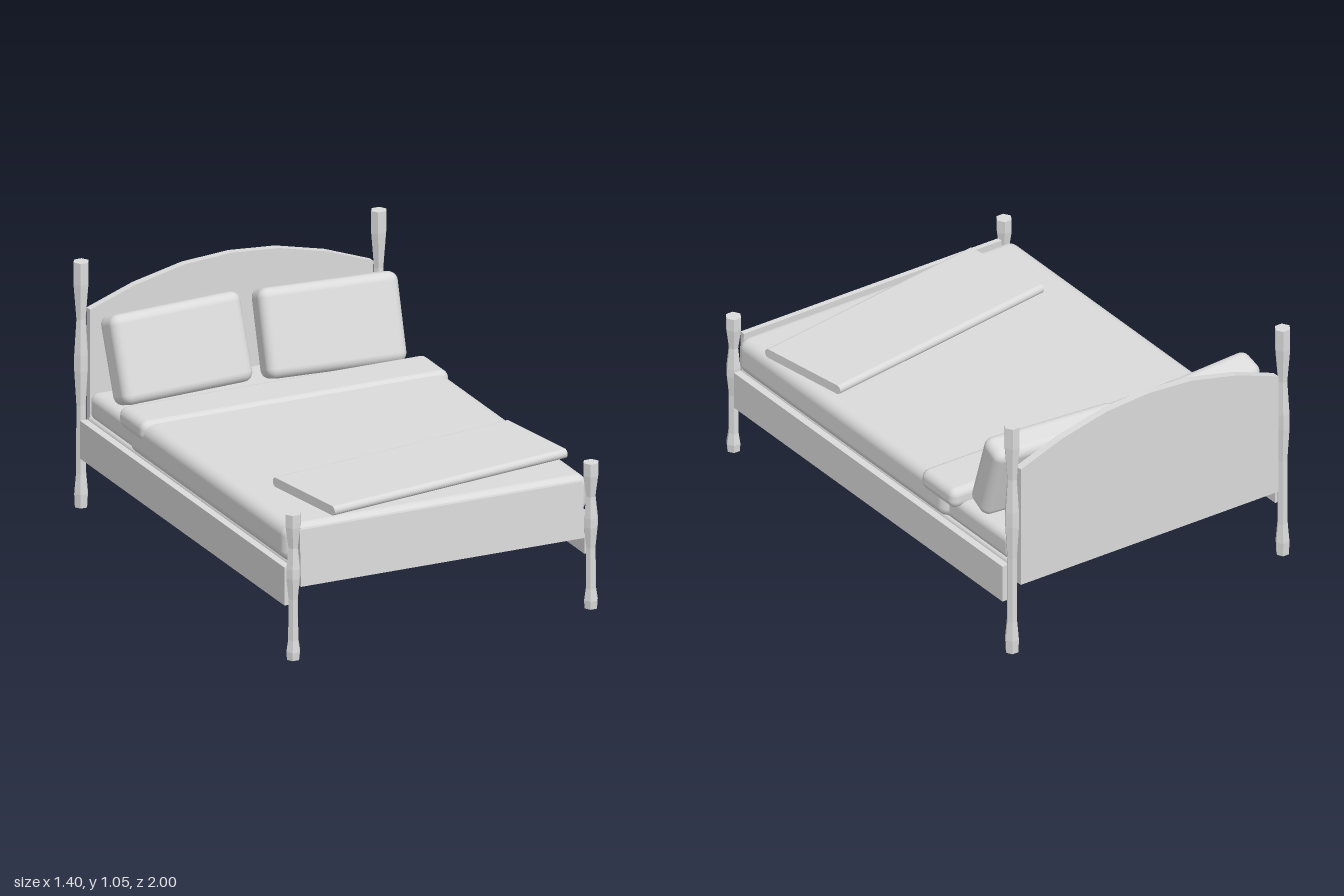
import * as THREE from 'three';
import { RoundedBoxGeometry } from 'three/addons/geometries/RoundedBoxGeometry.js';

export function createModel() {
  const bed = new THREE.Group();
  bed.name = 'bed';
  const grey = new THREE.MeshStandardMaterial({ color: 0xdadada });
  grey.name = 'light grey';

  const add = (name, geometry, x = 0, y = 0, z = 0) => {
    const mesh = new THREE.Mesh(geometry, grey);
    mesh.name = name;
    mesh.position.set(x, y, z);
    bed.add(mesh);
    return mesh;
  };
  // Rounded box given by its lower and upper limits
  const cushion = (name, [x0, y0, z0], [x1, y1, z1], radius) =>
    add(name, new RoundedBoxGeometry(x1 - x0, y1 - y0, z1 - z0, 4, radius),
      (x0 + x1) / 2, (y0 + y1) / 2, (z0 + z1) / 2);

  // Six-sided turned posts; the head posts are a taller version of the foot posts
  const profile = [
    [0, 0], [0.028, 0], [0.031, 0.035], [0.023, 0.085], [0.021, 0.26], [0.031, 0.35],
    [0.031, 0.39], [0.021, 0.48], [0.034, 0.57], [0.034, 0.626], [0, 0.626],
  ];
  const postGeometry = (height) => {
    const points = profile.map(([r, y]) => new THREE.Vector2(r, y * height / 0.626));
    const flat = new THREE.LatheGeometry(points, 6).toNonIndexed();
    flat.rotateY(Math.PI / 6);
    flat.computeVertexNormals();
    return flat;
  };
  for (const side of [-1, 1]) {
    add('headPost', postGeometry(1.054), side * 0.667, 0, -0.97);
    add('footPost', postGeometry(0.626), side * 0.667, 0, 0.97);
    add('sideRail', new THREE.BoxGeometry(0.034, 0.163, 1.87), side * 0.672, 0.302, 0);
  }

  // Arched headboard
  const arch = [[0.635, 0.845], [0.43, 0.92], [0.21, 0.971], [0, 0.986]];
  const outline = [
    [-0.635, 0.305], [0.635, 0.305], ...arch,
    ...arch.slice(0, 3).reverse().map(([x, y]) => [-x, y]),
  ].map(([x, y]) => new THREE.Vector2(x, y));
  add('headboard', new THREE.ExtrudeGeometry(new THREE.Shape(outline), { depth: 0.034, bevelEnabled: false }),
    0, 0, -0.986);
  // Footboard, leaning very slightly towards the mattress
  add('footboard', new THREE.BoxGeometry(1.27, 0.24, 0.022), 0, 0.425, 0.959).rotation.x = -0.045;

  // Bedding
  cushion('bedBase', [-0.657, 0.312, -0.94], [0.657, 0.4, 0.942], 0.02);
  cushion('mattress', [-0.653, 0.385, -0.932], [0.653, 0.503, 0.92], 0.035);
  cushion('blanket', [-0.682, 0.392, -0.52], [0.682, 0.552, 0.932], 0.047);
  cushion('blanketFold', [-0.69, 0.475, -0.592], [0.69, 0.565, -0.357], 0.035);

  // Pillows leaning on the headboard
  for (const [x, z, yaw] of [[-0.328, -0.787, 0.07], [0.34, -0.757, -0.09]]) {
    const pillow = add('pillow', new RoundedBoxGeometry(0.604, 0.37, 0.136, 4, 0.04), x, 0.685, z);
    pillow.rotation.set(-0.34, yaw, 0, 'YXZ');
  }

  // Folded throw: rounded long edges, flat ends
  const r = 0.02, half = 0.217;
  const section = new THREE.Shape();
  section.moveTo(-half + r, -r);
  section.lineTo(half - r, -r);
  section.absarc(half - r, 0, r, -Math.PI / 2, Math.PI / 2, false);
  section.lineTo(-half + r, r);
  section.absarc(-half + r, 0, r, Math.PI / 2, Math.PI * 1.5, false);
  const throwGeometry = new THREE.ExtrudeGeometry(section, { depth: 1.145, bevelEnabled: false, curveSegments: 6 });
  throwGeometry.translate(0, 0, -0.5725);
  throwGeometry.rotateY(Math.PI / 2);
  add('foldedThrow', throwGeometry, 0.079, 0.576, 0.609).rotation.y = 0.157;

  return bed;
}
